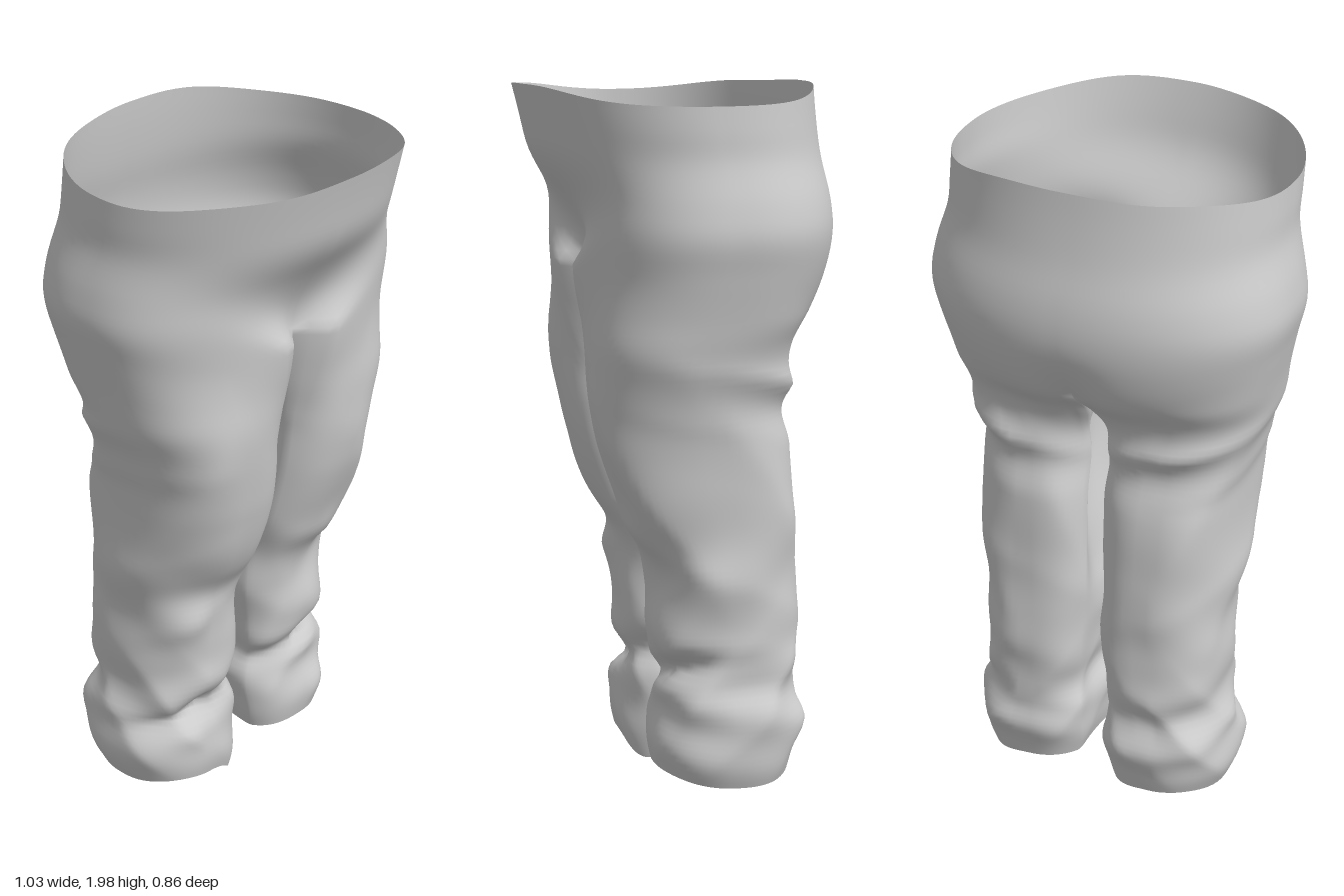
import * as THREE from 'three';
import { mergeVertices } from 'three/addons/utils/BufferGeometryUtils.js';

const CROTCH = 1.5, CUFF = 0.31, HEM = 0.075, TOP = 1.97;
const OUTER = 52, INNER = 20, RING = OUTER + INNER;

// Height, then outer half width, front z, back z, inner seam x
const PROFILE = [
  [0.05, 0.345, 0.09, -0.28, 0.045],
  [0.14, 0.38, 0.11, -0.305, 0.02],
  [0.22, 0.385, 0.10, -0.325, 0.01],
  [0.28, 0.38, 0.095, -0.31, 0.015],
  [0.33, 0.365, 0.095, -0.30, 0.03],
  [0.42, 0.365, 0.105, -0.312, 0.02],
  [0.60, 0.372, 0.112, -0.308, 0],
  [0.70, 0.378, 0.125, -0.305, 0],
  [0.80, 0.383, 0.18, -0.303, 0],
  [1.00, 0.39, 0.25, -0.29, 0],
  [1.10, 0.40, 0.268, -0.265, 0],
  [1.20, 0.425, 0.28, -0.28, 0],
  [1.30, 0.45, 0.295, -0.305, 0],
  [1.38, 0.465, 0.302, -0.37, 0],
  [1.50, 0.492, 0.308, -0.418, 0],
  [1.60, 0.513, 0.314, -0.432, 0],
  [1.68, 0.503, 0.332, -0.427, 0],
  [1.80, 0.474, 0.378, -0.402, 0],
  [1.90, 0.472, 0.405, -0.388, 0],
  [2.00, 0.470, 0.432, -0.38, 0],
];
const profile = new THREE.CubicInterpolant(
  PROFILE.map((r) => r[0]), PROFILE.flatMap((r) => r.slice(1)), 4);

const { lerp, smoothstep } = THREE.MathUtils;
const spow = (v, p) => Math.sign(v) * Math.abs(v) ** p;
const bump = (v, c, w) => Math.exp(-(((v - c) / w) ** 2));
const ridge = (t) => 1 - 2 * Math.sqrt(Math.sin(t) ** 2 + 0.02);

// Cloth folds, periodic around the leg
function folds(s, a, y) {
  const front = 0.5 + 0.5 * Math.cos(a);
  const knee = bump(y, 0.66, 0.17) * (0.3 + 0.7 * front);
  const low = bump(y, 0.3, 0.16);
  const under = bump(y, 1.2, 0.12) * (1 - front);
  const thigh = smoothstep(y, 0.4, 0.7) * (1 - smoothstep(y, 1.1, 1.42));
  const creaseY = (s > 0 ? 0.36 : 0.31) + 0.05 * s * Math.sin(a);
  return 0.01 * knee * (ridge(a + y * 11 + s) + Math.sin(3 * a - y * 17 + s * 2))
    + 0.007 * low * (ridge(3 * a - y * 13 + s) + Math.sin(2 * a + y * 38 + s))
    + 0.01 * under * ridge(a + y * (s > 0 ? 19 : 21))
    + 0.006 * thigh * ridge(2 * a + y * 5 + s * 0.6)
    - (s > 0 ? 0.05 : 0.035) * front ** 2 * bump(y, creaseY, 0.035);
}

// One point on the cloth: s is the side, k runs front, outside, back, inside
function point(s, k, level) {
  const isOuter = k <= OUTER;
  const u = isOuter ? k / OUTER : 1 - (k - OUTER) / INNER;
  // The fork hangs lower at the back
  const y = level - 0.1 * smoothstep(u, 0.45, 1) * bump(level, CROTCH, 0.23);

  const [X0, front, back, inner] = profile.evaluate(y);
  const X = X0 + (s < 0 ? 0.018 * (1 - smoothstep(y, 0.25, 0.34)) : 0);
  const zc = (front + back) / 2, d = (front - back) / 2;

  // Hip section, with the groin hollow in front and the cleft behind
  const frontPower = lerp(0.74, 1, smoothstep(y, 1.55, 1.85));
  const hip = (v) => {
    const a = v * Math.PI;
    const x = X * spow(Math.sin(a), 0.92);
    let z = zc + d * spow(Math.cos(a), v < 0.5 ? frontPower : 0.85);
    const h = Math.max(level - CROTCH, 0);
    if (v < 0.5) z -= 0.085 * (1 - smoothstep(h, 0, 0.34)) * bump(x, 0, 0.05 + h * 1.1);
    else z += 0.035 * (1 - smoothstep(h, -0.05, 0.15)) * bump(x, 0, 0.07 + h * 0.3);
    return [x, z];
  };
  const top = isOuter ? hip(u) : [0, lerp(hip(0)[1], hip(1)[1], u)];

  // Leg section, squarer on the inside so that the legs meet
  const c = 0.92;
  const a = isOuter ? lerp(-c, Math.PI + c, u)
    : lerp(Math.PI + c, 2 * Math.PI - c, 1 - u);
  const cx = (X + inner) / 2, w = (X - inner) / 2;
  const inside = Math.sin(a) < 0;
  let lx = cx + w * spow(Math.sin(a), inside ? 0.62 : 0.86);
  let lz = zc + d * spow(Math.cos(a), 0.86);
  const f = 1 + folds(s, a, y) / 0.19 * (inside ? 0.6 : 1);
  lx = Math.max(cx + (lx - cx) * f, 0.002);
  lz = zc + (lz - zc) * f;
  // Inner thigh hollow under the fork, closing again towards the knee
  if (!isOuter) {
    lx += (s > 0 ? 0.12 : 0.085) * Math.sin(Math.PI * u) ** 1.3
      * smoothstep(CROTCH - level, 0.05, 0.4) * lerp(0.2, 1, smoothstep(y, 0.55, 1.05));
  }

  const b = 1 - smoothstep(level, 1.15, CROTCH);
  const x = lerp(top[0], lx, b), z = lerp(top[1], lz, b);

  // Wavy waist and uneven hem
  const waist = smoothstep(level, 1.75, TOP);
  const hem = 1 - smoothstep(level, HEM, CUFF);
  const rim = 0.022 * Math.cos(2 * Math.PI * u) - 0.002 + 0.01 * Math.sin(x * s * 13) * Math.sin(Math.PI * u);
  const drop = s < 0
    ? 0.01 * Math.sin(3 * a) - 0.085 * bump(x, 0.08, 0.05) * bump(z, -0.03, 0.12)
    : 0.014 * Math.sin(2 * a + 1) - 0.015 * Math.sin(a);
  return [s * x, y + waist * rim + hem * drop, z];
}

export function createModel() {
  const positions = [], index = [], ranges = {};

  // Grid of cloth between two heights on one side
  function cloth(name, s, y0, y1, rows, cols) {
    const base = positions.length / 3, start = index.length;
    for (let r = 0; r <= rows; r++) {
      for (let k = 0; k <= cols; k++) positions.push(...point(s, k, lerp(y0, y1, r / rows)));
    }
    for (let r = 0; r < rows; r++) {
      for (let k = 0; k < cols; k++) {
        const a = base + r * (cols + 1) + k, b = a + 1, c = a + cols + 1, d = c + 1;
        if (s > 0) index.push(a, c, b, c, d, b);
        else index.push(a, b, c, c, b, d);
      }
    }
    (ranges[name] ??= []).push([start, index.length]);
  }
  for (const s of [1, -1]) {
    const side = s > 0 ? 'left' : 'right';
    cloth('hips', s, TOP, CROTCH, 22, OUTER);
    cloth(side + 'Leg', s, CROTCH, CUFF, 60, RING);
    cloth(side + 'Cuff', s, CUFF, HEM, 14, RING);
  }

  // Weld the seams so that shading runs on between the parts
  let whole = new THREE.BufferGeometry();
  whole.setAttribute('position', new THREE.Float32BufferAttribute(positions, 3));
  whole.setIndex(index);
  whole = mergeVertices(whole, 1e-4);
  whole.computeVertexNormals();
  const welded = Array.from(whole.index.array);

  const material = new THREE.MeshStandardMaterial({ color: 0xcccccc, side: THREE.DoubleSide });
  const group = new THREE.Group();
  group.name = 'trousers';
  for (const [name, spans] of Object.entries(ranges)) {
    const geometry = new THREE.BufferGeometry();
    geometry.setAttribute('position', whole.attributes.position);
    geometry.setAttribute('normal', whole.attributes.normal);
    geometry.setIndex(spans.flatMap(([i, j]) => welded.slice(i, j)));
    const mesh = new THREE.Mesh(geometry, material);
    mesh.name = name;
    group.add(mesh);
  }
  return group;
}
